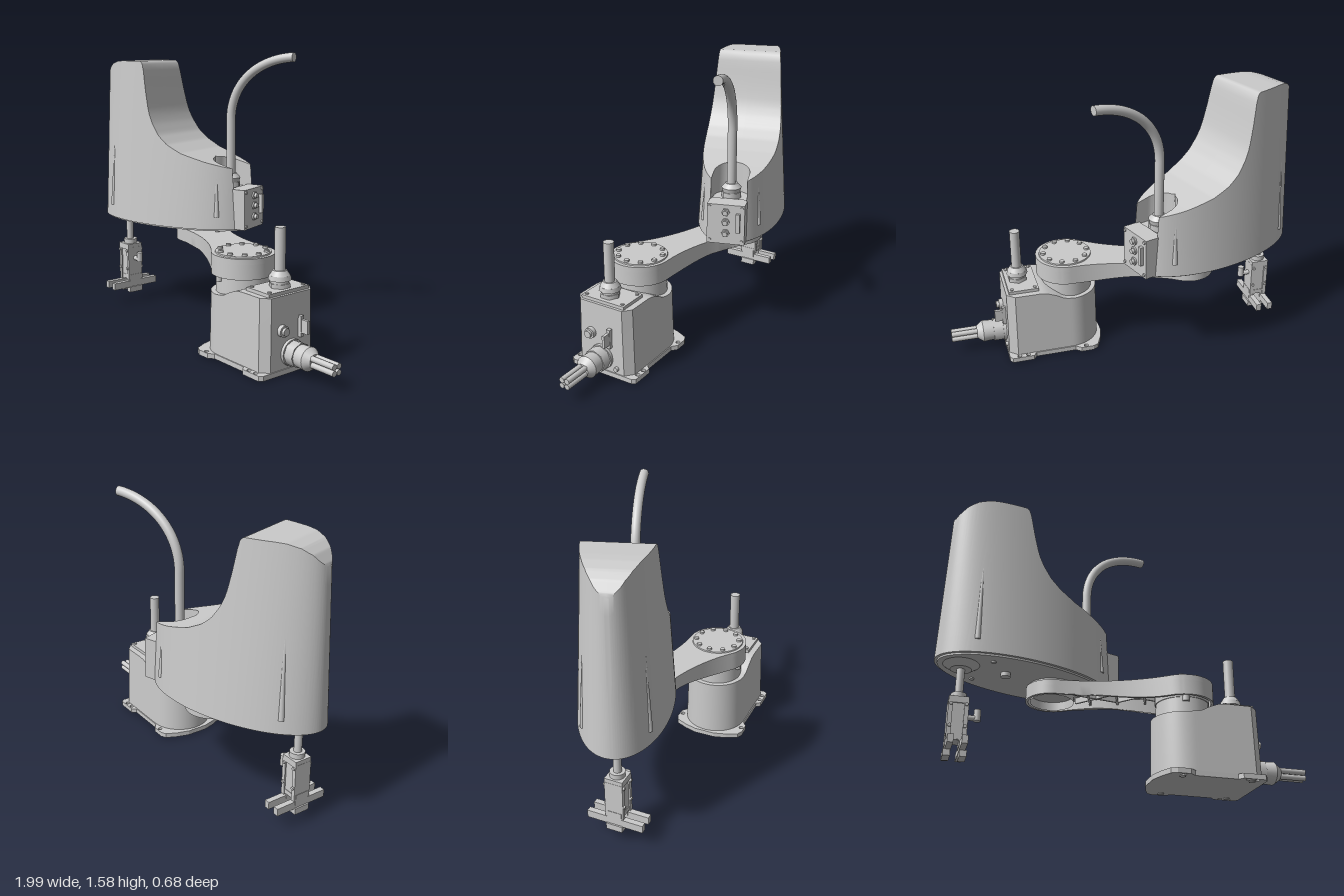
import * as THREE from 'three';
import { toCreasedNormals } from 'three/addons/utils/BufferGeometryUtils.js';

const grey = new THREE.MeshStandardMaterial({ color: 0xcccccc, side: THREE.DoubleSide });

function add(parent, name, geo, x = 0, y = 0, z = 0) {
  const m = new THREE.Mesh(geo, grey);
  m.name = name;
  m.position.set(x, y, z);
  parent.add(m);
  return m;
}
const group = (parent, name, x, z, turn = 0) => {
  const g = new THREE.Group();
  g.name = name;
  g.position.set(x, 0, z);
  g.rotation.y = turn;
  parent.add(g);
  return g;
};
const box = (p, name, w, h, d, x, y, z) => add(p, name, new THREE.BoxGeometry(w, h, d), x, y, z);
// upright cylinder given by its bottom and top heights
const post = (p, name, r0, r1, y0, y1, x = 0, z = 0, n = 32) =>
  add(p, name, new THREE.CylinderGeometry(r1, r0, y1 - y0, n), x, (y0 + y1) / 2, z);
// cylinder lying along x
const rod = (p, name, r0, r1, x0, x1, y, z, n = 24) =>
  add(p, name, new THREE.CylinderGeometry(r1, r0, x1 - x0, n).rotateZ(-Math.PI / 2), (x0 + x1) / 2, y, z);
// flat shape (x, z) thickened downwards from y = top
const slab = (shape, top, depth) =>
  new THREE.ExtrudeGeometry(shape, { depth, bevelEnabled: false, curveSegments: 24 }).rotateX(Math.PI / 2).translate(0, top, 0);

// linear lookup through a short list of [x, value]
function lookup(pts, x) {
  if (x <= pts[0][0]) return pts[0][1];
  for (let i = 1; i < pts.length; i++) {
    const [x0, v0] = pts[i - 1], [x1, v1] = pts[i];
    if (x <= x1) return v0 + ((v1 - v0) * (x - x0)) / (x1 - x0);
  }
  return pts[pts.length - 1][1];
}

// closed shell from mirrored cross-sections along x, with drafted walls,
// a variable top height and an optional pocket sunk into the top
function loftShell(outline, y0, top, draft, pocket = () => 0, low = 0) {
  const K = 10, pos = [], idx = [];
  let n = 0;
  for (const [bx, bw] of outline) {
    let yt = top(bx);
    for (let k = 0; k < 4; k++) yt = top(draft(bx, bw, yt)[0]);
    let [tx, tw] = draft(bx, bw, yt);
    let p = pocket(tx), floor = p > 0 ? low : yt;
    if (p >= tw && p > 0) { yt = low; [tx, tw] = draft(bx, bw, yt); p = tw; }
    const half = [];
    for (let k = 0; k <= K; k++) {
      const y = y0 + ((yt - y0) * k) / K, [x, w] = draft(bx, bw, y);
      half.push([x, y, w]);
    }
    half.push([tx, yt, p], [tx, floor, p]);
    const loop = half.concat(half.slice().reverse().map(([x, y, z]) => [x, y, -z]));
    n = loop.length;
    pos.push(...loop.flat());
  }
  for (let i = 0; i < outline.length - 1; i++)
    for (let j = 0; j < n; j++) {
      const a = i * n + j, d = i * n + ((j + 1) % n);
      idx.push(a, a + n, d + n, a, d + n, d);
    }
  const g = new THREE.BufferGeometry();
  g.setAttribute('position', new THREE.Float32BufferAttribute(pos, 3));
  g.setIndex(idx);
  return toCreasedNormals(g, 0.5);
}

function buildBase(root) {
  const b = group(root, 'base', 0, 0.122);
  // foot plate with bolt holes
  const edge = [[0.13, 0.06], [0.15, 0.13], [0.18, 0.195], [0.21, 0.21], [0.28, 0.21], [0.31, 0.185],
    [0.54, 0.185], [0.56, 0.21], [0.68, 0.21], [0.695, 0.19]];
  const plate = new THREE.Shape([...edge, ...edge.slice().reverse().map(([x, z]) => [x, -z])].map(([x, z]) => new THREE.Vector2(x, z)));
  for (const s of [-1, 1])
    for (const x of [0.25, 0.59, 0.64])
      plate.holes.push(new THREE.Path().absarc(x, s * 0.192, 0.012, 0, Math.PI * 2));
  add(b, 'footPlate', slab(plate, 0.032, 0.027));
  for (const s of [-1, 1]) for (const x of [0.25, 0.62]) post(b, 'footPad', 0.016, 0.016, 0, 0.01, x, s * 0.168);
  // housing: rounded nose, chamfered back corners, stepped top
  const outline = [];
  for (let i = 0; i <= 24; i++) {
    const a = (i / 24) * Math.PI / 2;
    outline.push([0.325 - 0.18 * Math.cos(a), 0.18 * Math.sin(a)]);
  }
  for (let i = 1; i <= 16; i++) outline.push([0.325 + (0.32 * i) / 16, 0.18]);
  outline.push([0.69, 0.14], [0.69, 0]);
  const heights = [[0.3, 0.35], [0.36, 0.358], [0.41, 0.385], [0.46, 0.405], [0.5, 0.41]];
  add(b, 'housing', loftShell(outline, 0.03, (x) => lookup(heights, x),
    (x, w, y) => [0.45 + (x - 0.45) * (1 - 0.05 * y), w * (1 - 0.13 * y)]));
  box(b, 'topCover', 0.17, 0.02, 0.27, 0.585, 0.418, 0);
  for (const s of [-1, 1]) for (const x of [0.52, 0.65]) post(b, 'coverScrew', 0.01, 0.01, 0.42, 0.434, x, s * 0.115, 12);
  post(b, 'neck', 0.145, 0.14, 0.33, 0.445, 0.32);
  // upright conduit
  post(b, 'conduitNut', 0.055, 0.055, 0.42, 0.45, 0.6, 0, 6);
  post(b, 'conduitCollar', 0.046, 0.046, 0.45, 0.465, 0.6);
  post(b, 'conduitGland', 0.06, 0.055, 0.465, 0.49, 0.6, 0, 8);
  post(b, 'conduitCone', 0.052, 0.036, 0.49, 0.515, 0.6);
  post(b, 'conduit', 0.028, 0.028, 0.5, 0.735, 0.6);
  // rear panel
  rod(b, 'cableFlange', 0.07, 0.07, 0.68, 0.705, 0.11, 0);
  rod(b, 'cableNut', 0.066, 0.066, 0.705, 0.76, 0.11, 0, 8);
  rod(b, 'cableGland', 0.058, 0.062, 0.76, 0.82, 0.11, 0);
  rod(b, 'cableCone', 0.062, 0.035, 0.82, 0.855, 0.11, 0);
  for (const s of [-1, 1]) for (const t of [-1, 1]) rod(b, 'cable', 0.015, 0.015, 0.82, 1, 0.11 + s * 0.016, t * 0.016, 14);
  rod(b, 'roundSocket', 0.03, 0.03, 0.675, 0.71, 0.235, 0.065);
  rod(b, 'socketPlug', 0.02, 0.02, 0.71, 0.725, 0.235, 0.065);
  box(b, 'slotPanel', 0.035, 0.11, 0.02, 0.69, 0.235, -0.058);
  box(b, 'slotConnector', 0.06, 0.07, 0.016, 0.72, 0.238, -0.058);
  rod(b, 'earthScrew', 0.013, 0.013, 0.68, 0.705, 0.062, -0.095, 12);
}

// arm outline with concave waist, inset by d
function armShape(d) {
  const L = 0.7, r1 = 0.168 - d, r2 = 0.142 - d, A = 1.22, B = 1.83, k = 0.2;
  const at = (cx, r, a, t) => [cx + r * Math.cos(a) + t * Math.sin(a), r * Math.sin(a) - t * Math.cos(a)];
  const s = new THREE.Shape();
  s.absarc(0, 0, r1, A, 2 * Math.PI - A, false);
  const [cx, cy] = at(0, r1, A, k), [ex, ey] = at(L, r2, B, -k), [px, py] = at(L, r2, B, 0);
  s.bezierCurveTo(cx, -cy, ex, -ey, px, -py);
  s.absarc(L, 0, r2, -B, B, false);
  const [qx, qy] = at(0, r1, A, 0);
  s.bezierCurveTo(ex, ey, cx, cy, qx, qy);
  return s;
}

function buildArm(root) {
  const a = group(root, 'innerArm', 0.32, 0.122, Math.PI - 0.338);
  add(a, 'armTop', toCreasedNormals(slab(armShape(0), 0.555, 0.03), 0.5));
  // hollow rim, deeper towards the shoulder
  const rim = armShape(0);
  rim.holes.push(new THREE.Path(armShape(0.014).getPoints(24)));
  const geo = slab(rim, 0.53, 0.05), p = geo.attributes.position;
  for (let i = 0; i < p.count; i++)
    if (p.getY(i) < 0.5) p.setY(i, 0.445 + 0.032 * THREE.MathUtils.smoothstep(p.getX(i), 0.1, 0.5));
  geo.computeVertexNormals();
  add(a, 'armRim', toCreasedNormals(geo, 0.5));
  post(a, 'shoulderHub', 0.145, 0.145, 0.44, 0.53);
  post(a, 'shoulderCap', 0.15, 0.147, 0.55, 0.562, 0, 0, 40);
  for (let i = 0; i < 10; i++) {
    const t = ((i + 0.5) / 10) * Math.PI * 2;
    post(a, 'capBolt', 0.014, 0.014, 0.56, 0.573, 0.125 * Math.cos(t), 0.125 * Math.sin(t), 12);
  }
  // crossed ribs under the arm
  for (const s of [-1, 1])
    for (const x of [0.24, 0.46]) box(a, 'rib', 0.27, 0.035, 0.01, x, 0.51, 0).rotation.y = s * 0.5;
  for (const x of [0.2, 0.35, 0.5]) box(a, 'crossRib', 0.01, 0.035, 0.19, x, 0.51, 0);
  add(a, 'elbowRing', new THREE.CylinderGeometry(0.118, 0.118, 0.055, 32, 1, true), 0.7, 0.505, 0);
  post(a, 'armStop', 0.018, 0.018, 0.415, 0.45, -0.02, -0.14, 16);
  post(a, 'elbowBearing', 0.13, 0.13, 0.55, 0.58, 0.7);
}

function buildHead(root) {
  const h = group(root, 'outerArm', -0.34, -0.112, 0.32);
  // hood: drafted elliptical shell with a tall tower and a rear pocket
  const ellipse = [];
  for (let i = 0; i <= 140; i++) {
    const t = (i / 140) * Math.PI;
    ellipse.push([-Math.cos(t), Math.sin(t)]);
  }
  const heights = [[-0.675, 1.28], [-0.662, 1.37], [-0.64, 1.425], [-0.605, 1.47], [-0.56, 1.5], [-0.5, 1.517],
    [-0.45, 1.52], [-0.3, 1.52], [-0.285, 1.51], [-0.275, 1.48], [-0.25, 1.34], [-0.225, 1.23], [-0.195, 1.165],
    [-0.15, 1.1], [-0.09, 1.05], [0, 1.005], [0.15, 0.96], [0.35, 0.91]];
  const hoodAt = (x, w, y) => {
    const t = (y - 0.58) / 0.94;
    return [-0.165 + x * (0.515 - 0.035 * t), w * (0.247 - 0.062 * t)];
  };
  const pocket = (x) => (x < 0.11 ? 0 : x < 0.21 ? Math.sqrt(0.01 - (x - 0.21) ** 2) : 0.1);
  add(h, 'hood', loftShell(ellipse, 0.578, (x) => lookup(heights, x), hoodAt, pocket, 0.8));
  const skirt = new THREE.CylinderGeometry(1, 1, 0.012, 64).scale(0.5, 1, 0.232);
  add(h, 'bottomPlate', skirt, -0.165, 0.574, 0);
  // tapered screw channels on the hood sides
  for (const s of [-1, 1])
    for (const [u, top] of [[-0.72, 1.08], [0.74, 0.87]]) {
      const w = Math.sqrt(1 - u * u), [x0, z0] = hoodAt(u, w, 0.65), [x1, z1] = hoodAt(u, w, top);
      const a = new THREE.Vector3(x0, 0.65, s * z0), b = new THREE.Vector3(x1, top, s * z1);
      const c = add(h, 'screwChannel', new THREE.CylinderGeometry(0.006, 0.016, a.distanceTo(b), 10));
      c.position.copy(a).add(b).multiplyScalar(0.5).addScaledVector(new THREE.Vector3(-u * 0.3, 0, -s), 0.006);
      c.quaternion.setFromUnitVectors(new THREE.Vector3(0, 1, 0), b.sub(a).normalize());
    }
  // connector box on the back
  box(h, 'connectorBox', 0.1, 0.23, 0.21, 0.315, 0.695, 0);
  for (const y of [0.645, 0.71, 0.768]) {
    rod(h, 'airFitting', 0.023, 0.023, 0.36, 0.375, y, 0, 6);
    rod(h, 'airPort', 0.014, 0.014, 0.37, 0.39, y, 0, 16);
  }
  box(h, 'dataSocket', 0.025, 0.11, 0.022, 0.372, 0.71, -0.07);
  for (const s of [-1, 1]) for (const y of [0.6, 0.795]) rod(h, 'boxScrew', 0.009, 0.009, 0.36, 0.372, y, s * 0.09, 12);
  // hose and its gland
  post(h, 'hoseNut', 0.055, 0.055, 0.8, 0.835, 0.21, 0, 8);
  post(h, 'hoseGland', 0.048, 0.055, 0.835, 0.86, 0.21);
  post(h, 'hoseCone', 0.055, 0.034, 0.86, 0.885, 0.21);
  const path = new THREE.CurvePath();
  const v = (x, y) => new THREE.Vector3(x, y, 0);
  path.add(new THREE.LineCurve3(v(0.21, 0.82), v(0.21, 1.19)));
  path.add(new THREE.CubicBezierCurve3(v(0.21, 1.19), v(0.21, 1.39), v(0.37, 1.535), v(0.61, 1.55)));
  add(h, 'hose', new THREE.TubeGeometry(path, 60, 0.026, 18));
  post(h, 'hoseEnd', 0.026, 0.026, -0.001, 0.001, 0, 0, 18).position.set(0.61, 1.55, 0);
  h.children[h.children.length - 1].rotation.z = Math.PI / 2;
  // underside details and spindle
  post(h, 'spindleBoss', 0.055, 0.1, 0.54, 0.572, -0.54);
  post(h, 'spindle', 0.021, 0.021, 0.38, 0.55, -0.54);
  post(h, 'plug', 0.026, 0.026, 0.545, 0.572, -0.3, 0.03, 16);
  for (const s of [-1, 1]) for (const x of [-0.42, 0.2]) post(h, 'plateScrew', 0.013, 0.013, 0.56, 0.572, x, s * 0.13, 12);
}

function buildGripper(root) {
  const g = group(root, 'gripper', -0.852, 0.056);
  post(g, 'mountCollar', 0.04, 0.04, 0.375, 0.405);
  box(g, 'mountBlock', 0.1, 0.035, 0.1, 0, 0.36, 0);
  box(g, 'gripperCore', 0.07, 0.2, 0.085, 0, 0.25, 0);
  for (const s of [-1, 1]) {
    box(g, 'sideRail', 0.022, 0.21, 0.1, s * 0.04, 0.25, 0);
    for (const t of [-1, 1])
      for (const y of [0.22, 0.335])
        add(g, 'bodyBolt', new THREE.CylinderGeometry(0.009, 0.009, 0.01, 12).rotateX(Math.PI / 2), s * 0.038, y, t * 0.053);
    // sliding jaw with a long finger bar
    box(g, 'jawSlide', 0.036, 0.06, 0.08, s * 0.035, 0.15, 0);
    box(g, 'fingerBar', 0.03, 0.042, 0.31, s * 0.035, 0.12, 0);
    box(g, 'fingerTip', 0.036, 0.035, 0.09, s * 0.04, 0.085, 0);
  }
  box(g, 'guideBlock', 0.1, 0.025, 0.09, 0, 0.165, 0);
  rod(g, 'airElbow', 0.014, 0.014, 0.045, 0.105, 0.285, 0, 14);
  post(g, 'elbowOutlet', 0.018, 0.018, 0.27, 0.33, 0.1, 0, 14);
}

export function createModel() {
  const root = new THREE.Group();
  root.name = 'robotArm';
  buildBase(root);
  buildArm(root);
  buildHead(root);
  buildGripper(root);
  return root;
}
